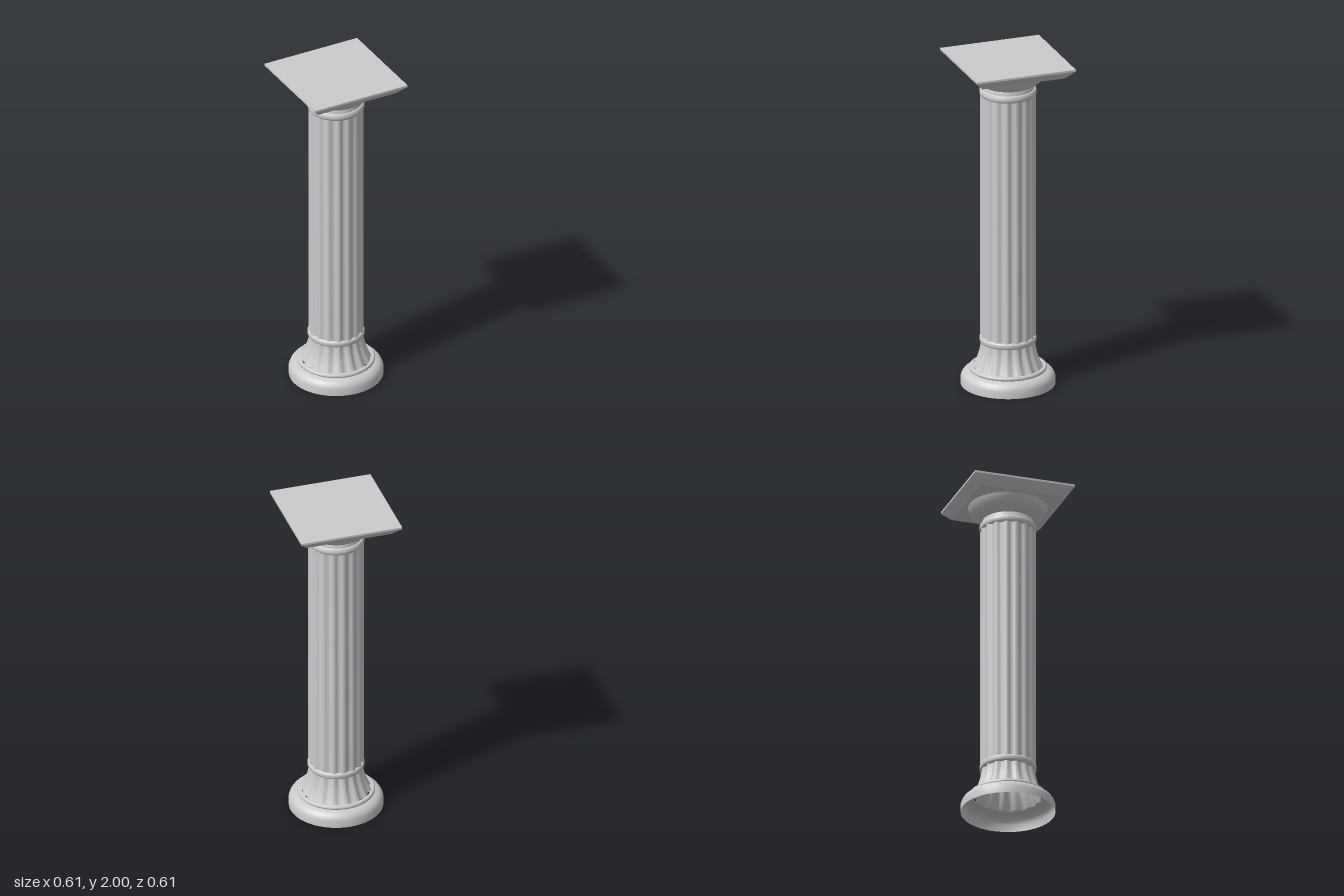
import * as THREE from 'three';
import { toCreasedNormals } from 'three/addons/utils/BufferGeometryUtils.js';

const material = new THREE.MeshStandardMaterial({ color: 0xcccccc, side: THREE.DoubleSide });
const FLUTES = 16;

export function createModel() {
  const column = new THREE.Group();
  column.name = 'column';

  function add(name, geometry, crease = 0.6) {
    const mesh = new THREE.Mesh(toCreasedNormals(geometry, crease), material);
    mesh.name = name;
    column.add(mesh);
    return mesh;
  }

  // Revolved part from [radius, height] pairs, bottom to top
  function turned(profile, segments = 64) {
    return new THREE.LatheGeometry(profile.map(([r, y]) => new THREE.Vector2(r, y)), segments);
  }

  // Revolved part with scalloped vertical grooves
  function fluted(profile, depth) {
    const geometry = turned(profile, FLUTES * 8);
    const p = geometry.attributes.position;
    for (let i = 0; i < p.count; i++) {
      const x = p.getX(i), z = p.getZ(i);
      const r = Math.hypot(x, z);
      const groove = (1 - Math.cos(FLUTES * Math.atan2(z, x))) / 2;
      const k = (r - depth * groove) / r;
      p.setX(i, x * k);
      p.setZ(i, z * k);
    }
    return geometry;
  }

  // Rounded band around the column
  function band(radius, bottom, top) {
    const h = (top - bottom) / 2, mid = (top + bottom) / 2, inner = radius - 0.02;
    const profile = [[inner, bottom]];
    for (let i = 0; i <= 8; i++) {
      const a = -Math.PI / 2 + (Math.PI * i) / 8;
      profile.push([radius - 0.01 + 0.01 * Math.cos(a), mid + h * Math.sin(a)]);
    }
    profile.push([inner, top]);
    return turned(profile);
  }

  // Hollow round foot, open underneath
  add('base', turned([
    [0.274, 0], [0.274, 0.045], [0.268, 0.06], [0.26, 0.072], [0.246, 0.083], [0.222, 0.09], [0.195, 0.092],
  ]));
  add('baseBand', band(0.226, 0.088, 0.112));

  // Flared fluted foot of the shaft
  const flare = [];
  for (let i = 0; i <= 12; i++) {
    const t = i / 12;
    flare.push([0.157 + 0.048 * Math.pow(1 - t, 1.7), 0.1 + 0.165 * t]);
  }
  add('flaredFoot', fluted(flare, 0.014));
  add('lowerBand', band(0.166, 0.259, 0.297));

  add('shaft', fluted([[0.161, 0.28], [0.161, 1.79]], 0.012));
  add('upperBand', band(0.166, 1.782, 1.825));
  add('neck', turned([[0.152, 1.81], [0.152, 1.838], [0.148, 1.848]]));

  // Bowl-shaped part of the capital
  const bowl = [];
  for (let i = 0; i <= 10; i++) {
    const a = (Math.PI / 2) * (i / 10);
    const t = i / 10;
    bowl.push([0.148 + 0.084 * (0.5 * t + 0.5 * Math.sin(a)), 1.848 + 0.089 * (0.5 * t + 0.5 * (1 - Math.cos(a)))]);
  }
  add('capitalBowl', turned(bowl));

  // Square slab with a chamfered underside
  const s = Math.SQRT2;
  const slab = turned([[0, 1.935], [0.255 * s, 1.935], [0.305 * s, 1.988], [0.305 * s, 2], [0, 2]], 4);
  slab.rotateY(Math.PI / 4);
  add('capitalSlab', slab, 0.3);

  return column;
}
